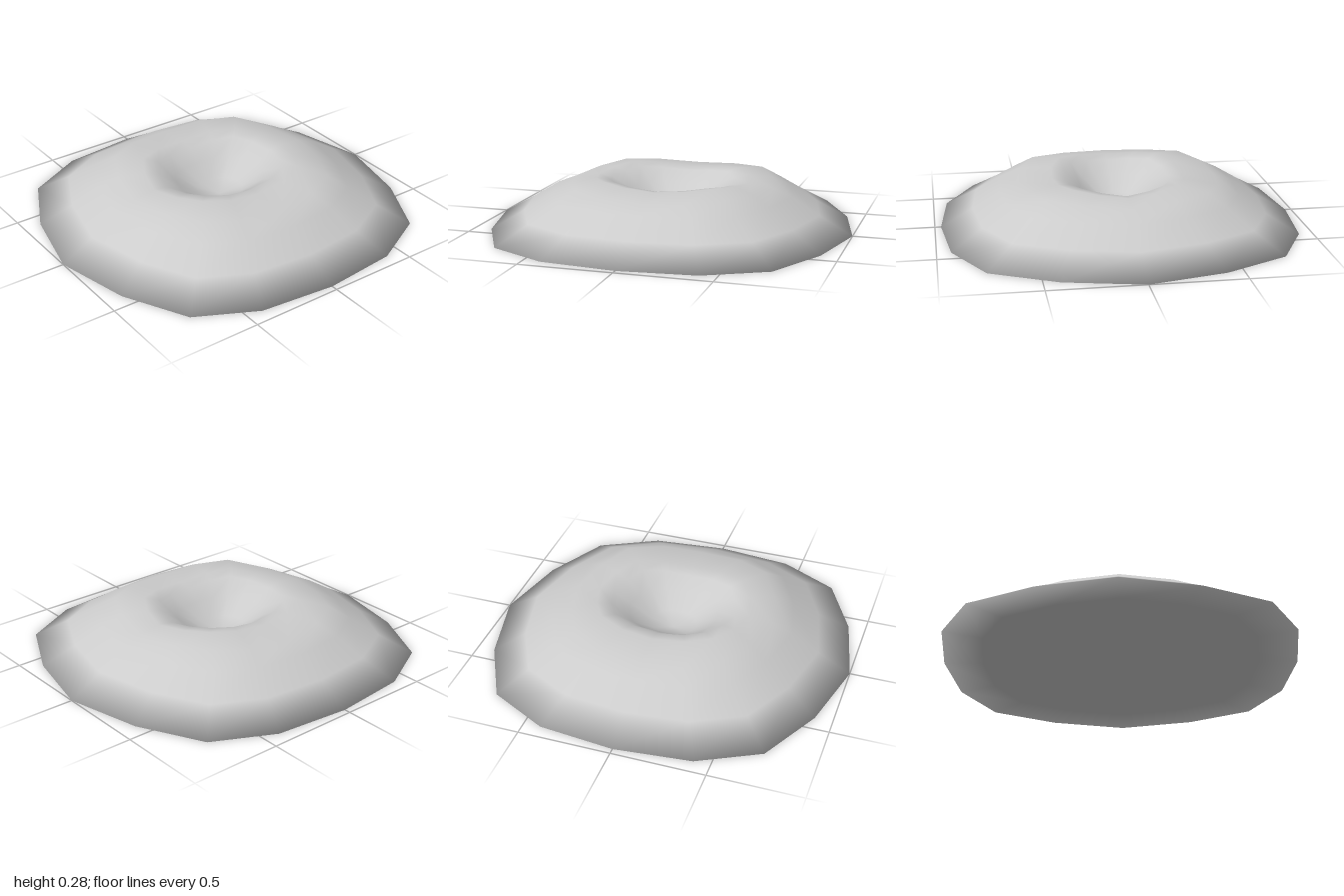
import * as THREE from 'three';
import { mergeVertices } from 'three/addons/utils/BufferGeometryUtils.js';

const SIDES = 16;
// One quarter of the squarish oval outline (x, z), mirrored to all sides
const QUARTER = [[0.967, 0], [0.925, 0.41], [0.76, 0.73], [0.415, 0.905], [0, 1]];

// Rings from bottom centre, over the rim and the lip, down to the hollow:
// outline scale, height, extra height on the diagonals, narrowing in x
const RINGS = [
  [0, 0, 0, 1], [0.78, 0, 0, 1], [1, 0, 0, 1],
  [0.82, 0.1, 0, 1], [0.67, 0.192, 0, 1], [0.56, 0.245, 0.01, 1],
  [0.43, 0.264, 0.012, 0.86], [0.35, 0.25, 0.011, 0.84], [0.25, 0.185, 0, 0.84],
  [0.13, 0.112, 0, 0.84], [0, 0.08, 0, 1],
];

function outline(k) {
  const q = Math.floor(k / 4), r = k % 4;
  const [x, z] = QUARTER[q % 2 ? 4 - r : r];
  return [q === 1 || q === 2 ? -x : x, q >= 2 ? -z : z];
}

function cushionGeometry() {
  const pos = [], index = [];
  RINGS.forEach(([s, y, diagonal, narrow], i) => {
    for (let k = 0; k < SIDES; k++) {
      const [x, z] = outline(k);
      pos.push(x * s * narrow, y - diagonal * Math.cos(k * Math.PI / 2), z * s);
      if (i === RINGS.length - 1) continue;
      const a = i * SIDES + k, b = i * SIDES + (k + 1) % SIDES;
      if (s > 0) index.push(a, a + SIDES, b);
      if (RINGS[i + 1][0] > 0) index.push(b, a + SIDES, b + SIDES);
    }
  });
  let geo = new THREE.BufferGeometry();
  geo.setAttribute('position', new THREE.Float32BufferAttribute(pos, 3));
  geo.setIndex(index);
  geo = mergeVertices(geo); // joins the points at both centres
  geo.computeVertexNormals();
  return geo;
}

export function createModel() {
  const group = new THREE.Group();
  // Dimpled cushion: flat underside, sharp rim, sloping wall, lip and hollow
  const cushion = new THREE.Mesh(
    cushionGeometry(),
    new THREE.MeshStandardMaterial({ color: 0xcccccc, side: THREE.DoubleSide }),
  );
  cushion.name = 'dimpledCushion';
  group.add(cushion);
  return group;
}
